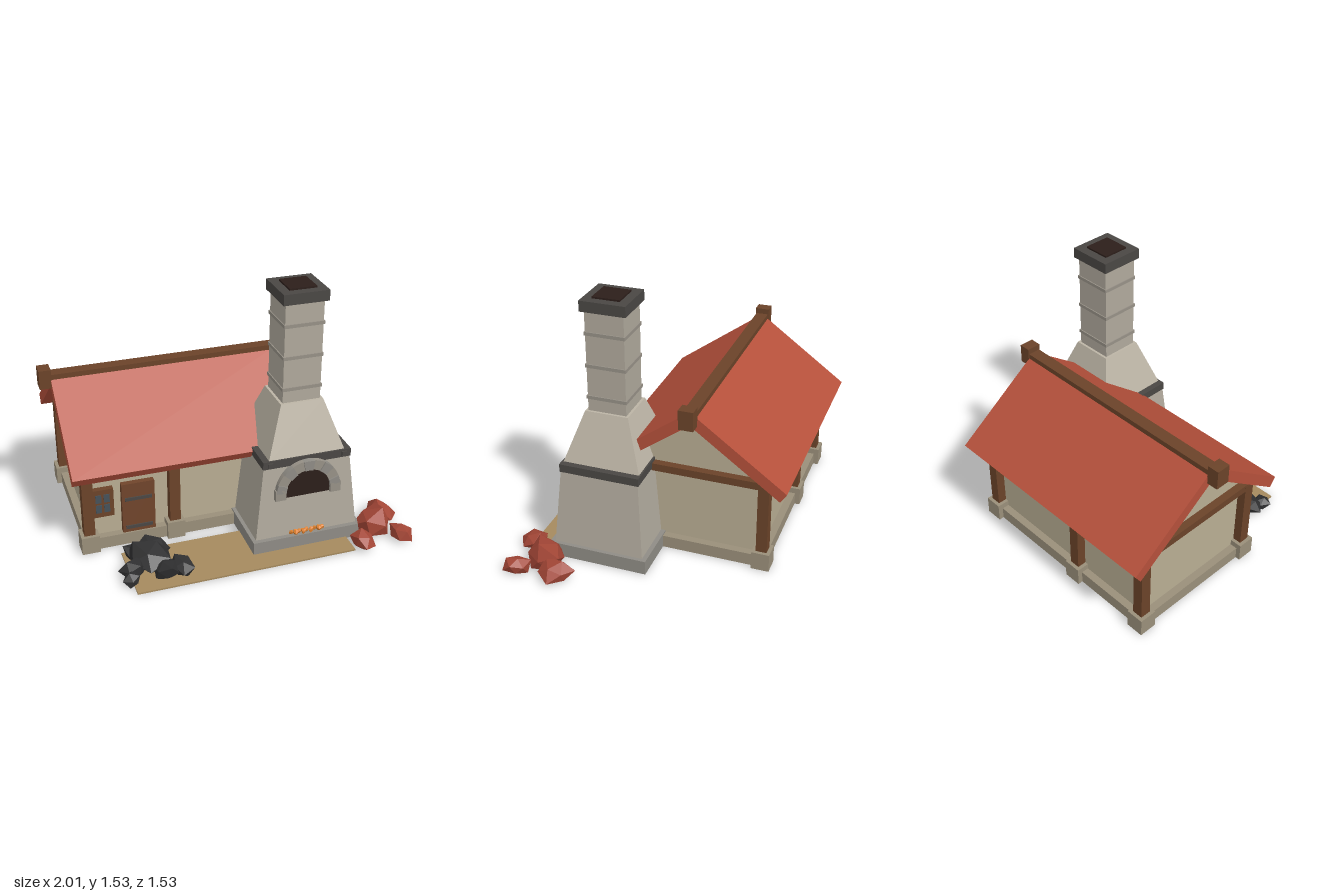
import * as THREE from 'three';

const mat = (color, extra = {}) => new THREE.MeshStandardMaterial({ color, flatShading: true, ...extra });
const M = {
  wall: mat(0xb8ad93), sill: mat(0x9a8f7a), wood: mat(0x6b4329), door: mat(0x70452b),
  roof: mat(0xb5503b), stone: mat(0xb0a99c), hood: mat(0xbcb4a5), base: mat(0x8f8c85),
  trim: mat(0x979187), iron: mat(0x4a4744), dark: mat(0x2c1e1a), glass: mat(0x46525a),
  ember: mat(0xe0812c), coal: mat(0x2f2f30), ore: mat(0xa34636), ground: mat(0xa58a5e),
};

export function createModel() {
  const model = new THREE.Group();
  model.name = 'forgeHouse';

  const add = (parent, name, geo, material, x = 0, y = 0, z = 0) => {
    const mesh = new THREE.Mesh(geo, material);
    mesh.name = name;
    mesh.position.set(x, y, z);
    parent.add(mesh);
    return mesh;
  };
  const group = (name, x = 0, y = 0, z = 0) => {
    const g = new THREE.Group();
    g.name = name;
    g.position.set(x, y, z);
    model.add(g);
    return g;
  };
  // Box centred on x and z, spanning y0 to y1
  const block = (parent, name, material, x, z, w, d, y0, y1) =>
    add(parent, name, new THREE.BoxGeometry(w, y1 - y0, d), material, x, (y0 + y1) / 2, z);
  // Tapered block given by half sizes at the bottom and at the top
  const taper = (parent, name, material, bx, bz, tx, tz, y0, y1) => {
    const geo = new THREE.BoxGeometry(2, y1 - y0, 2);
    const p = geo.attributes.position;
    for (let i = 0; i < p.count; i++) {
      const top = p.getY(i) > 0;
      p.setX(i, p.getX(i) * (top ? tx : bx));
      p.setZ(i, p.getZ(i) * (top ? tz : bz));
    }
    geo.computeVertexNormals();
    return add(parent, name, geo, material, 0, (y0 + y1) / 2, 0);
  };
  // Profile in (z, y) extruded along x and centred
  const alongX = (points, length) => {
    const shape = new THREE.Shape(points.map(([a, b]) => new THREE.Vector2(a, b)));
    return new THREE.ExtrudeGeometry(shape, { depth: length, bevelEnabled: false })
      .translate(0, 0, -length / 2).rotateY(Math.PI / 2);
  };

  // House walls, plinth and gables
  const house = group('house', -0.225, 0, -0.21);
  block(house, 'plinth', M.sill, 0, 0, 1.29, 0.86, 0, 0.075);
  block(house, 'walls', M.wall, 0, 0, 1.2, 0.77, 0.07, 0.56);
  add(house, 'gables', alongX([[-0.435, 0.555], [0.435, 0.555], [0, 0.878]], 1.21), M.wall);

  // Timber frame
  for (const z of [-0.407, 0.407]) {
    for (const x of [-0.62, -0.108, 0.62]) {
      block(house, 'post', M.wood, x, z, 0.064, 0.064, 0.1, 0.55);
      block(house, 'postBase', M.sill, x, z, 0.106, 0.106, 0, 0.11);
    }
    block(house, 'eaveBeam', M.wood, 0, z, 1.3, 0.062, 0.515, 0.558);
  }
  for (const x of [-0.62, 0.62]) block(house, 'tieBeam', M.wood, x, 0, 0.062, 0.876, 0.515, 0.56);

  // Roof and ridge
  add(house, 'roof', alongX([
    [-0.552, 0.56], [-0.515, 0.505], [0, 0.88], [0.515, 0.505], [0.552, 0.56], [0, 0.962],
  ], 1.43), M.roof);
  block(house, 'ridgeBeam', M.wood, 0, 0, 1.43, 0.074, 0.9, 0.966);
  for (const x of [-0.747, 0.747]) block(house, 'ridgeEnd', M.wood, x, 0, 0.07, 0.086, 0.885, 1.0);

  // Door with iron straps
  const door = group('door', -0.5475, 0, 0.185);
  block(door, 'doorLeaf', M.door, 0, 0, 0.195, 0.05, 0.01, 0.4);
  for (const y of [0.11, 0.3]) block(door, 'doorStrap', M.iron, 0, 0.027, 0.16, 0.012, y - 0.01, y + 0.01);

  // Window with four panes
  const win = group('window', -0.757, 0.3, 0.185);
  block(win, 'windowFrame', M.wood, 0, 0, 0.13, 0.05, -0.09, 0.09);
  for (const x of [-0.024, 0.024])
    for (const y of [-0.033, 0.033])
      block(win, 'windowPane', M.glass, x, 0.025, 0.034, 0.008, y - 0.026, y + 0.026);

  // Furnace body, hood and chimney shaft
  const forge = group('furnace', 0.37, 0, 0.272);
  block(forge, 'furnaceBase', M.base, 0, 0, 0.67, 0.59, 0, 0.085);
  taper(forge, 'furnaceBody', M.stone, 0.313, 0.268, 0.26, 0.23, 0.08, 0.56);
  block(forge, 'ironBand', M.iron, 0, 0, 0.535, 0.475, 0.53, 0.578);
  taper(forge, 'hood', M.hood, 0.232, 0.23, 0.128, 0.128, 0.57, 0.867);
  block(forge, 'chimneyShaft', M.stone, 0, 0, 0.226, 0.226, 0.86, 1.47);
  for (const y of [0.95, 1.14, 1.33])
    block(forge, 'shaftBand', M.trim, 0, 0, 0.238, 0.238, y - 0.01, y + 0.01);
  block(forge, 'chimneyCap', M.iron, 0, 0, 0.266, 0.266, 1.46, 1.522);
  block(forge, 'flue', M.dark, 0, 0, 0.16, 0.16, 1.5, 1.532);
  for (const x of [-0.225, 0.225]) block(forge, 'bandBolt', M.iron, x, 0.24, 0.03, 0.014, 0.54, 0.568);

  // Arched mouth with voussoirs
  const arch = group('archedMouth', 0.37, 0.365, 0.48);
  const mouth = new THREE.Shape();
  mouth.moveTo(-0.138, -0.032).lineTo(0.138, -0.032).lineTo(0.138, 0);
  mouth.absarc(0, 0, 0.138, 0, Math.PI, false);
  add(arch, 'opening', new THREE.ExtrudeGeometry(mouth, { depth: 0.048, bevelEnabled: false, curveSegments: 16 }), M.dark);
  const count = 9;
  for (let i = 0; i < count; i++) {
    const a = (i / count) * Math.PI, b = ((i + 1) / count) * Math.PI;
    const outer = 0.196;
    const stone = new THREE.Shape();
    stone.absarc(0, 0, outer, a, b, false);
    stone.absarc(0, 0, 0.135, b, a, true);
    add(arch, 'archStone', new THREE.ExtrudeGeometry(stone,
      { depth: i % 2 ? 0.058 : 0.065, bevelEnabled: false, curveSegments: 3 }), i % 2 ? M.trim : M.base);
  }
  for (const x of [-0.168, 0.168]) block(arch, 'archFoot', M.trim, x, 0.031, 0.064, 0.068, -0.035, 0.03);

  // Rocks: jittered low-poly solids with flat undersides
  const rock = (parent, name, material, x, z, rx, rz, h, seed) => {
    const geo = new THREE.IcosahedronGeometry(1, 0);
    const p = geo.attributes.position;
    const v = new THREE.Vector3();
    for (let i = 0; i < p.count; i++) {
      v.fromBufferAttribute(p, i);
      const k = 1 + 0.22 * Math.sin(seed * 7.3 + v.x * 5.1 + v.y * 8.7 + v.z * 3.9);
      v.applyAxisAngle(new THREE.Vector3(0.6, 0, 0.8), seed);
      p.setXYZ(i, v.x * k * rx, Math.max(0, h * (0.4 + 0.56 * v.y * k)), v.z * k * rz);
    }
    geo.computeVertexNormals();
    return add(parent, name, geo, material, x, 0, z);
  };
  const coal = group('coalPile');
  [[-0.56, 0.46, 0.12, 0.13, 0.155], [-0.52, 0.37, 0.1, 0.08, 0.13], [-0.62, 0.37, 0.07, 0.07, 0.1],
    [-0.66, 0.52, 0.08, 0.07, 0.1], [-0.69, 0.59, 0.05, 0.065, 0.075], [-0.49, 0.59, 0.08, 0.08, 0.12],
    [-0.4, 0.59, 0.065, 0.08, 0.115]]
    .forEach((r, i) => rock(coal, 'coalLump', M.coal, ...r, i + 1));
  const ore = group('orePile');
  [[0.8, 0.54, 0.12, 0.12, 0.16], [0.9, 0.43, 0.09, 0.1, 0.12], [0.92, 0.67, 0.065, 0.075, 0.11],
    [0.67, 0.68, 0.07, 0.075, 0.11]]
    .forEach((r, i) => rock(ore, 'oreChunk', M.ore, ...r, i + 2.5));

  // Glowing embers on the furnace ledge
  const embers = group('embers', 0.37, 0.085, 0.545);
  for (let i = 0; i < 9; i++)
    rock(embers, 'ember', M.ember, -0.096 + i * 0.024, i % 2 ? 0.008 : -0.006, 0.016, 0.014, 0.032 + 0.008 * (i % 2), i);

  // Ground strip in front
  block(model, 'yard', M.ground, -0.035, 0.507, 1.3, 0.386, 0, 0.01);

  return model;
}
